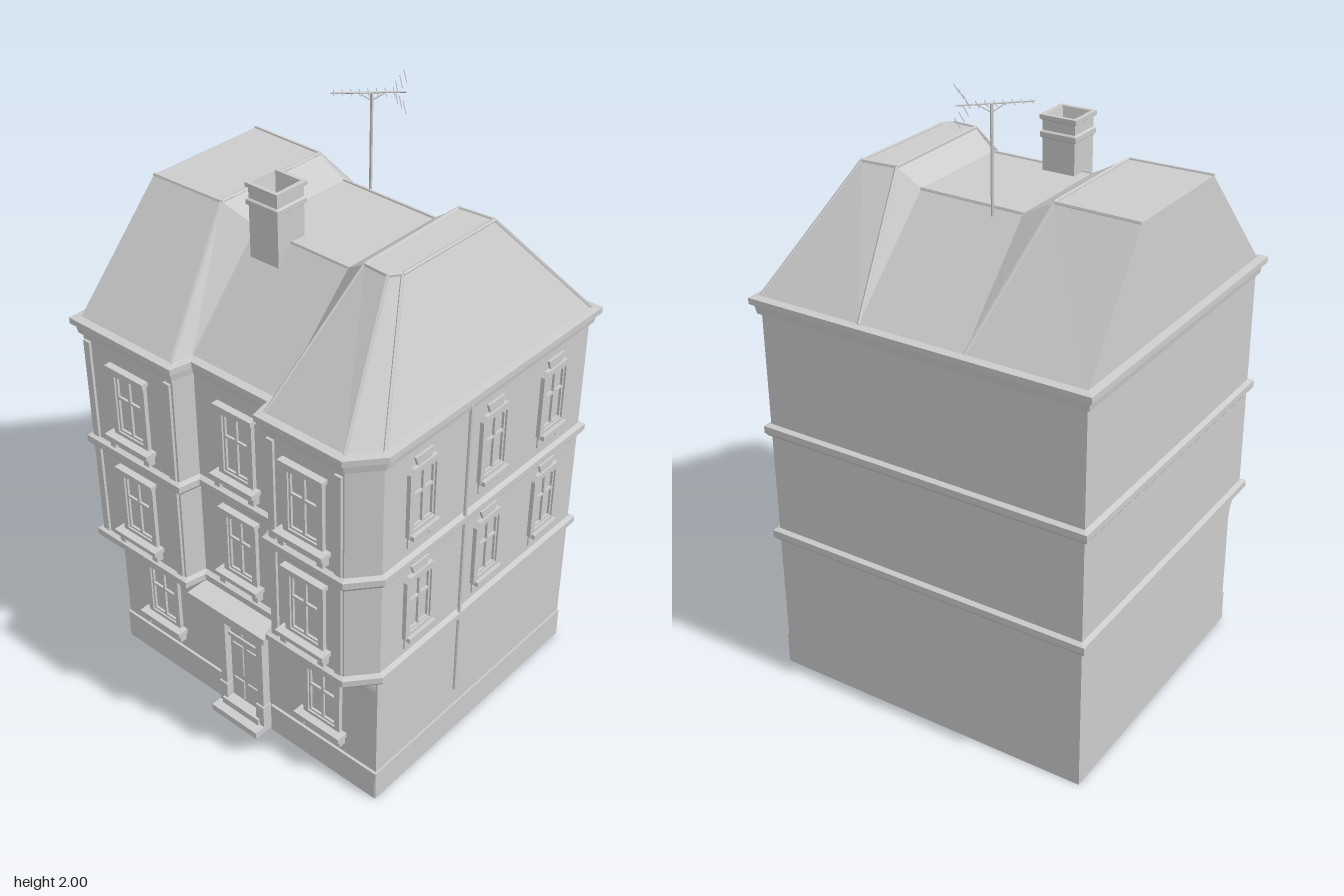
import * as THREE from 'three';

const mat = new THREE.MeshStandardMaterial({ color: 0xcccccc, flatShading: true, side: THREE.DoubleSide });

function add(parent, name, geo, x = 0, y = 0, z = 0) {
  const m = new THREE.Mesh(geo, mat);
  m.name = name;
  m.position.set(x, y, z);
  parent.add(m);
  return m;
}
const box = (p, name, w, h, d, x, y, z) => add(p, name, new THREE.BoxGeometry(w, h, d), x, y, z);

// Flat polygons, each fanned into triangles
function faces(polys) {
  const pos = [];
  for (const p of polys)
    for (let i = 1; i < p.length - 1; i++) pos.push(...p[0], ...p[i], ...p[i + 1]);
  const g = new THREE.BufferGeometry();
  g.setAttribute('position', new THREE.Float32BufferAttribute(pos, 3));
  g.computeVertexNormals();
  return g;
}

// Skin between rings of points that follow each other upward
function loft(rings, closed = true) {
  const polys = [], n = rings[0].length;
  for (let r = 0; r < rings.length - 1; r++)
    for (let i = 0; i < (closed ? n : n - 1); i++) {
      const j = (i + 1) % n;
      polys.push([rings[r][i], rings[r + 1][i], rings[r + 1][j], rings[r][j]]);
    }
  return faces(polys);
}

// Plan outline moved outward by d with mitred corners
function offset(plan, d) {
  const n = plan.length;
  const normal = (a, b) => {
    const l = Math.hypot(b[0] - a[0], b[1] - a[1]);
    return [(b[1] - a[1]) / l, -(b[0] - a[0]) / l];
  };
  return plan.map((p, i) => {
    const a = normal(plan[(i + n - 1) % n], p), b = normal(p, plan[(i + 1) % n]);
    const k = d / (1 + a[0] * b[0] + a[1] * b[1]);
    return [p[0] + (a[0] + b[0]) * k, p[1] + (a[1] + b[1]) * k];
  });
}
// Moulding: profile of [projection, height] swept round a plan
const band = (plan, profile) => loft(profile.map(([d, y]) => offset(plan, d).map(([x, z]) => [x, y, z])));

function rod(p, name, a, b, r, sides = 5) {
  const A = new THREE.Vector3(...a), B = new THREE.Vector3(...b), dir = B.clone().sub(A);
  const m = add(p, name, new THREE.CylinderGeometry(r, r, dir.length(), sides));
  m.position.copy(A).add(B).multiplyScalar(0.5);
  m.quaternion.setFromUnitVectors(new THREE.Vector3(0, 1, 0), dir.normalize());
}

// Rectangle with clipped upper corners, standing on y = y0
function outline(C, w, y0, y1, c) {
  const s = new C();
  s.moveTo(-w / 2, y0);
  s.lineTo(w / 2, y0);
  s.lineTo(w / 2, y1 - c);
  s.lineTo(w / 2 - c, y1);
  s.lineTo(-w / 2 + c, y1);
  s.lineTo(-w / 2, y1 - c);
  s.closePath();
  return s;
}
function frame(w, h, t, depth) {
  const s = outline(THREE.Shape, w, 0, h, 0.015);
  s.holes.push(outline(THREE.Path, w - 2 * t, t, h - t, 0.01));
  return new THREE.ExtrudeGeometry(s, { depth, bevelEnabled: false });
}

// Window standing on its own origin and facing +z
function makeWindow(w, h, ledge) {
  const g = new THREE.Group();
  g.name = 'window';
  add(g, 'windowSurround', frame(w, h, 0.02, 0.014));
  add(g, 'windowFrame', frame(w - 0.03, h - 0.03, 0.012, 0.008), 0, 0.015, 0);
  box(g, 'mullion', 0.009, h - 0.04, 0.008, 0, h / 2, 0.004);
  box(g, 'transom', w - 0.04, 0.009, 0.008, 0, h * 0.58, 0.004);
  box(g, 'sill', w * (ledge ? 1.25 : 0.9), 0.016, ledge ? 0.04 : 0.026, 0, 0, ledge ? 0.02 : 0.013);
  if (ledge) {
    for (const s of [-1, 1]) box(g, 'sillBracket', 0.022, 0.035, 0.026, s * w * 0.5, -0.024, 0.013);
    box(g, 'head', w * 1.1, 0.014, 0.024, 0, h, 0.012);
  } else {
    const key = new THREE.Shape([[-0.028, 0], [0.028, 0], [0.04, 0.035], [-0.04, 0.035]].map(q => new THREE.Vector2(...q)));
    add(g, 'keystone', new THREE.ExtrudeGeometry(key, { depth: 0.008, bevelEnabled: false }), 0, h - 0.005, 0);
    for (const s of [-1, 1]) box(g, 'apronBlock', 0.022, 0.04, 0.005, s * w * 0.36, -0.025, 0.002);
  }
  return g;
}

function makeRoof(p) {
  const E = 1.34, M = 1.645, T = 1.7;
  // Back block, middle block and front block corners
  const b = { el: [-0.527, E, -0.555], er: [0.525, E, -0.555], l: [-0.215, T, -0.535], r: [0.22, T, -0.535],
    fl: [-0.208, T, -0.262], fr: [0.214, T, -0.26], vl: [-0.527, E, -0.17], vr: [0.525, E, -0.165] };
  const m = { bl: [-0.176, M, -0.156], br: [0.21, M, -0.157], fl: [-0.181, M, 0.2], fr: [0.2, M, 0.198],
    ebl: [-0.455, E, -0.155], efl: [-0.455, E, 0.185] };
  const f = { bl: [-0.21, T, 0.282], br: [0.212, T, 0.275], r: [0.222, T, 0.395], l: [-0.184, T, 0.392], c: [-0.217, T, 0.368],
    er: [0.525, E, 0.558], el: [-0.445, E, 0.558], ec: [-0.527, E, 0.488], vl: [-0.527, E, 0.2], vr: [0.525, E, 0.195] };
  add(p, 'roof', faces([
    [b.l, b.fl, b.fr, b.r], [b.el, b.l, b.r, b.er], [b.el, b.vl, b.fl, b.l], [b.er, b.r, b.fr, b.vr],
    [b.fl, m.bl, m.br, b.fr], [b.fr, m.br, b.vr], [b.fl, b.vl, m.ebl], [b.fl, m.ebl, m.bl],
    [m.bl, m.fl, m.fr, m.br], [m.bl, m.ebl, m.efl, m.fl], [m.br, m.fr, f.vr, b.vr],
    [f.bl, f.br, m.fr, m.fl], [f.br, f.vr, m.fr], [f.bl, m.efl, f.vl], [f.bl, m.fl, m.efl],
    [f.bl, f.c, f.l, f.r, f.br], [f.l, f.el, f.er, f.r], [f.c, f.ec, f.el, f.l], [f.bl, f.vl, f.ec, f.c], [f.r, f.er, f.vr, f.br],
  ]));
  // Capping along hips and ridges
  const caps = [[b.l, b.fl], [b.r, b.fr], [b.fl, b.vl], [b.fr, b.vr], [b.fl, b.fr], [m.bl, m.fl], [m.br, m.fr],
    [f.bl, f.br], [f.bl, f.vl], [f.br, f.vr], [f.r, f.er], [f.l, f.el], [f.c, f.ec], [f.bl, f.c], [f.br, f.r], [f.l, f.r], [f.c, f.l]];
  for (const [s, e] of caps) rod(p, 'ridgeCap', s, e, 0.006);
}

function makeAerial(p) {
  const g = new THREE.Group();
  g.name = 'aerial';
  g.position.set(0.22, 1.95, -0.085);
  g.rotation.y = -0.72;
  rod(g, 'mast', [0, -0.33, 0], [0, 0, 0], 0.005);
  rod(g, 'boom', [-0.12, 0, 0], [0.1, 0, 0], 0.003);
  rod(g, 'stay', [-0.04, 0, 0], [0, -0.025, 0], 0.002);
  rod(g, 'stay', [0.04, 0, 0], [0, -0.025, 0], 0.002);
  for (let i = 0; i < 8; i++) {
    const x = -0.11 + i * 0.025, l = 0.02 + i * 0.002;
    rod(g, 'element', [x, 0, -l], [x, 0, l], 0.0015, 4);
  }
  // Swept reflector rods behind the boom
  for (const s of [-1, 1])
    for (let i = 1; i <= 3; i++)
      rod(g, 'reflector', [0.06 + i * 0.012, s * i * 0.016, -0.045], [0.06 + i * 0.012, s * i * 0.016, 0.045], 0.0015, 4);
  p.add(g);
}

export function createModel() {
  const model = new THREE.Group(), house = new THREE.Group();
  model.name = 'townHouse';
  house.name = 'house';
  house.rotation.y = 0.085;
  model.add(house);

  // Plans run right side, front, left side, back
  const ground = [[0.525, -0.555], [0.525, 0.558], [-0.455, 0.558], [-0.455, -0.555]];
  const frontBay = [[-0.445, 0.558], [-0.527, 0.488], [-0.527, 0.2], [-0.455, 0.185]];
  const backBay = [[-0.455, -0.155], [-0.527, -0.17], [-0.527, -0.555]];
  const upper = [[0.525, -0.555], [0.525, 0.558], ...frontBay, ...backBay];
  add(house, 'groundWalls', band(ground, [[0, 0], [0, 0.5]]));
  add(house, 'upperWalls', band(upper, [[0, 0.5], [0, 1.34]]));
  for (const y of [0.49, 0.87])
    add(house, 'stringCourse', band(upper, [[0, y], [0.008, y], [0.016, y + 0.012], [0.016, y + 0.034], [0, y + 0.04]]));
  add(house, 'cornice', band(upper, [[0, 1.285], [0.01, 1.285], [0.014, 1.31], [0.026, 1.318], [0.026, 1.338], [-0.012, 1.342]]));

  // Curved coves carrying the two bays
  for (const bay of [frontBay, [...backBay, [-0.455, -0.555]]]) {
    const rings = [];
    for (let i = 0; i <= 6; i++) {
      const a = (i / 6) * Math.PI / 2, k = 1 - Math.cos(a);
      rings.push(bay.map(([x, z]) => [-0.455 + (x + 0.455) * k, 0.42 + 0.075 * Math.sin(a), z]));
    }
    add(house, 'bayCove', loft(rings, false));
  }

  // Plinth, left open at the doorway
  box(house, 'plinth', 0.985, 0.11, 0.008, 0.032, 0.055, 0.56);
  box(house, 'plinth', 0.012, 0.11, 0.44, -0.458, 0.055, 0.342);
  box(house, 'plinth', 0.012, 0.11, 0.47, -0.458, 0.055, -0.32);

  // Front windows and drainpipe
  for (const y of [0.595, 0.985])
    for (const u of [-0.28, 0.05, 0.35]) {
      const w = makeWindow(0.135, 0.235, false);
      w.position.set(u, y, 0.558);
      house.add(w);
    }
  rod(house, 'drainpipe', [-0.078, 0.19, 0.568], [-0.078, 1.3, 0.568], 0.006, 8);

  // Left side windows on every floor
  const leftWindow = (u, y, v, w, h) => {
    const g = makeWindow(w, h, true);
    g.position.set(u, y, v);
    g.rotation.y = -Math.PI / 2;
    house.add(g);
  };
  for (const y of [0.59, 0.97]) {
    leftWindow(-0.527, y, 0.345, 0.15, 0.25);
    leftWindow(-0.455, y, 0.015, 0.14, 0.25);
    leftWindow(-0.527, y, -0.36, 0.15, 0.25);
    for (const v of [0.22, 0.47, -0.19, -0.535])
      box(house, 'bayPilaster', 0.012, 0.35, 0.025, -0.53, y + 0.12, v);
  }
  for (const v of [0.345, -0.36]) leftWindow(-0.455, 0.19, v, 0.15, 0.23);
  box(house, 'windowRecess', 0.14, 0.23, 0.15, -0.384, 0.305, 0.345);

  // Doorway with panelled leaves, pilasters, canopy and steps
  const door = new THREE.Group();
  door.name = 'doorway';
  door.position.set(-0.455, 0, 0.015);
  door.rotation.y = -Math.PI / 2;
  house.add(door);
  box(door, 'doorLeaf', 0.13, 0.34, 0.016, 0, 0.215, 0);
  box(door, 'fanlightBar', 0.14, 0.012, 0.014, 0, 0.325, 0.008);
  for (const s of [-1, 1]) {
    box(door, 'doorPilaster', 0.026, 0.38, 0.03, s * 0.082, 0.21, 0.015);
    box(door, 'pilasterBase', 0.034, 0.09, 0.036, s * 0.082, 0.065, 0.018);
    box(door, 'canopyBracket', 0.026, 0.05, 0.05, s * 0.082, 0.425, 0.025);
    for (const [y, h] of [[0.1, 0.08], [0.23, 0.13], [0.355, 0.035]])
      box(door, 'doorPanel', 0.044, h, 0.006, s * 0.031, y, 0.01);
  }
  box(door, 'lintel', 0.2, 0.035, 0.036, 0, 0.41, 0.018);
  box(door, 'canopy', 0.3, 0.02, 0.085, 0, 0.46, 0.042);
  box(door, 'canopyTop', 0.33, 0.022, 0.09, 0, 0.481, 0.045);
  box(door, 'step', 0.2, 0.025, 0.075, 0, 0.0125, 0.037);
  box(door, 'step', 0.16, 0.025, 0.045, 0, 0.0375, 0.022);

  makeRoof(house);

  // Hollow chimney with banded cap
  const stack = [[0.055, -0.055], [0.055, 0.055], [-0.055, 0.055], [-0.055, -0.055]];
  add(house, 'chimney', band(stack, [[0, 1.55], [0, 1.745], [0.006, 1.75], [0.006, 1.765], [0, 1.77],
    [0, 1.8], [0.007, 1.805], [0.007, 1.818], [-0.006, 1.818], [-0.02, 1.74], [-0.054, 1.74]]), -0.179, 0, -0.07);

  makeAerial(model);
  return model;
}
